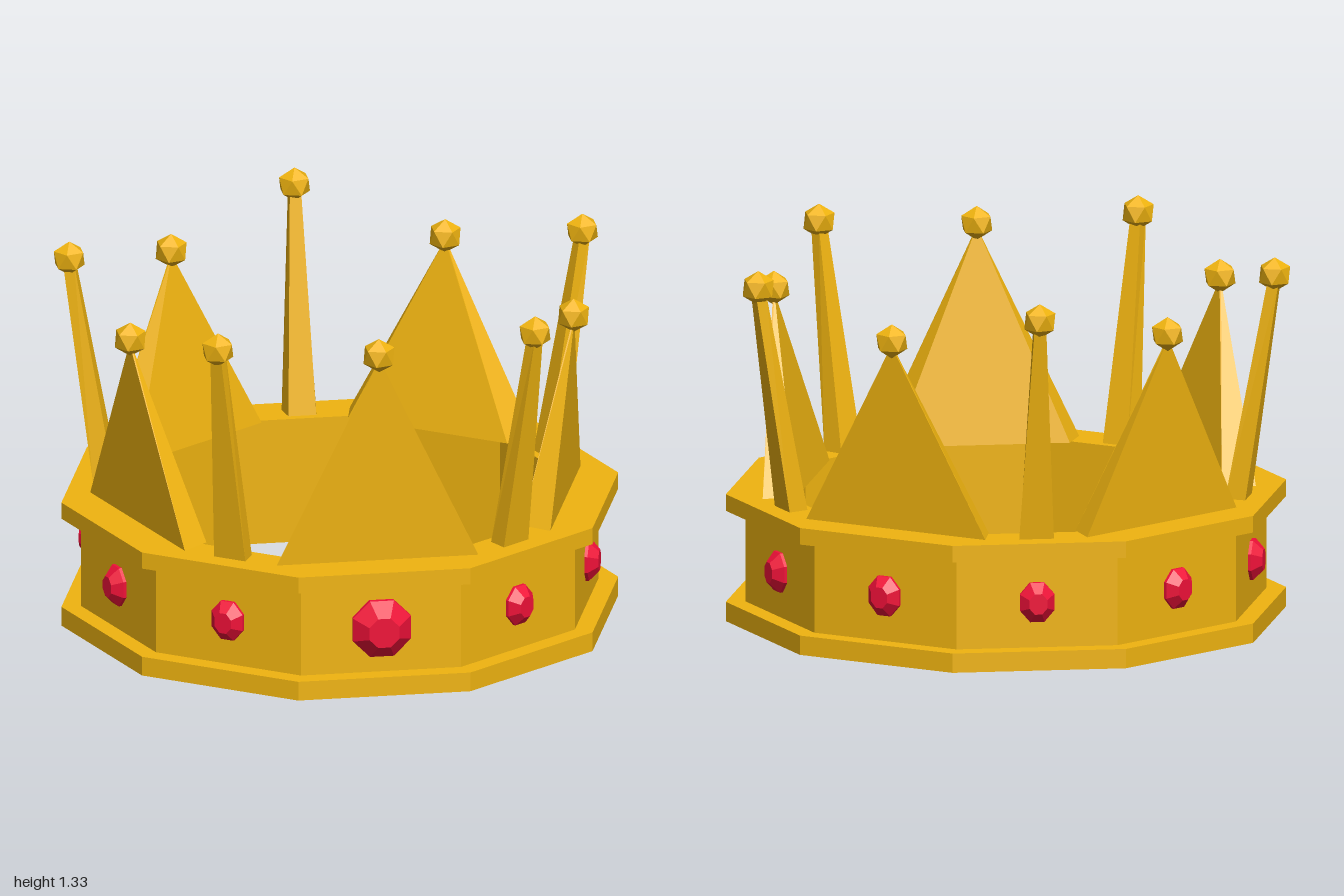
import * as THREE from 'three';

const BASE = 0.46; // height of the top rim
const STEP = Math.PI / 5; // ten faces around the crown

// Tapered spike leaning outward: +z is the radial direction
function spikeGeometry({ inner, outer, innerHalf, outerHalf, tipR, tipY, tipHalf }) {
  const geo = new THREE.BoxGeometry(2, 2, 2);
  const p = geo.attributes.position;
  for (let i = 0; i < p.count; i++) {
    const sx = p.getX(i), sz = p.getZ(i);
    if (p.getY(i) > 0) p.setXYZ(i, sx * tipHalf, tipY, tipR + sz * tipHalf);
    else p.setXYZ(i, sx * (sz > 0 ? outerHalf : innerHalf), BASE, sz > 0 ? outer : inner);
  }
  geo.computeVertexNormals();
  return geo;
}

// Eight-sided cut stone: short girdle, sloping crown and flat table
function gemGeometry(radius, depth) {
  const profile = [[0, -0.02], [radius, -0.02], [radius, depth * 0.25], [radius * 0.52, depth], [0, depth]];
  const geo = new THREE.LatheGeometry(profile.map(([r, y]) => new THREE.Vector2(r, y)), 8);
  geo.rotateY(Math.PI / 8);
  geo.rotateX(Math.PI / 2);
  return geo;
}

export function createModel() {
  const crown = new THREE.Group();
  crown.name = 'crown';
  crown.position.z = 0.035;

  const gold = new THREE.MeshStandardMaterial({ color: 0xf0b410, flatShading: true });
  const red = new THREE.MeshStandardMaterial({ color: 0xf01038, flatShading: true });

  const add = (parent, name, geo, mat) => {
    const mesh = new THREE.Mesh(geo, mat);
    mesh.name = name;
    parent.add(mesh);
    return mesh;
  };

  // Ten-sided band with a projecting rim at the bottom and the top
  const section = [
    [0.81, 0], [1, 0], [1, 0.07], [0.93, 0.07], [0.93, 0.4],
    [1, 0.4], [1, BASE], [0.81, BASE], [0.81, 0],
  ].map(([r, y]) => new THREE.Vector2(r, y));
  const band = new THREE.LatheGeometry(section, 10);
  band.rotateY(STEP / 2);
  add(crown, 'band', band, gold);

  // Ball with one corner pointing up
  const ball = new THREE.IcosahedronGeometry(0.062, 0);
  ball.rotateZ(-Math.atan(2 / (1 + Math.sqrt(5))));

  const apothem = 0.93 * Math.cos(STEP / 2);
  for (let i = 0; i < 10; i++) {
    const face = new THREE.Group();
    face.name = 'face' + i;
    face.rotation.y = i * STEP;
    crown.add(face);

    // Broad and narrow spikes alternate; the front one is taller
    const broad = i % 2 === 0;
    const ballY = broad ? (i === 0 ? 1.235 : 1.147) : 1.27;
    const ballR = broad ? 0.837 : 0.969;
    const spike = broad
      ? { inner: 0.697, outer: 0.808, innerHalf: 0.315, outerHalf: 0.362, tipR: ballR, tipY: ballY - 0.02, tipHalf: 0.003 }
      : { inner: 0.8, outer: 0.875, innerHalf: 0.05, outerHalf: 0.062, tipR: ballR, tipY: ballY - 0.01, tipHalf: 0.02 };
    add(face, broad ? 'broadSpike' : 'narrowSpike', spikeGeometry(spike), gold);
    add(face, 'ball', ball, gold).position.set(0, ballY, ballR);

    // Gem on each face, largest at the front
    const gem = i === 0 ? gemGeometry(0.112, 0.07) : gemGeometry(0.077, 0.046);
    const stone = add(face, 'gem', gem, red);
    stone.position.set(0, 0.235, apothem);
    if (i > 0) stone.scale.x = 0.86;
  }

  const model = new THREE.Group();
  model.name = 'model';
  model.add(crown);
  return model;
}
